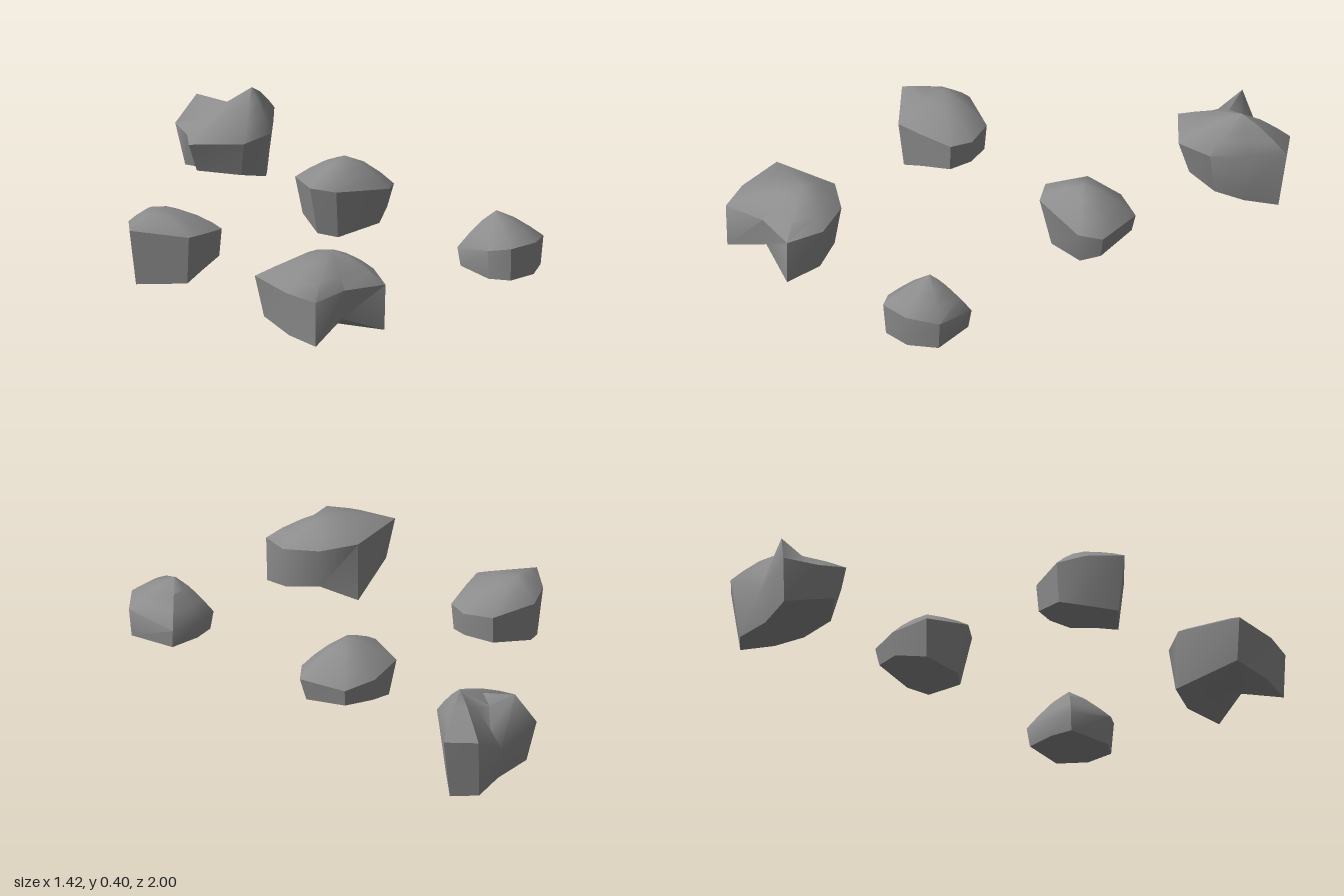
import * as THREE from 'three';
import { toCreasedNormals } from 'three/addons/utils/BufferGeometryUtils.js';

// A rock is an outline (x, z pairs from +x round through +z) set on a tilted belt,
// rising to a rounded apex and narrowing to a foot that waves between low and high.
// The belt drops at the spoke 'notch'; a second peak stands on the spoke 'spike'.
function rockGeometry({
  outline, apex, belt, tiltX = 0, tiltZ = 0, bulge = 1.6, spike = -1, notch = -1,
  low, high = low, lowScale, highScale = lowScale, legs = 1, phase = 0,
}) {
  const n = outline.length / 2;
  const spokes = Array.from({ length: n }, (_, i) => [outline[2 * i], outline[2 * i + 1]]);
  const cx = spokes.reduce((sum, p) => sum + p[0], 0) / n;
  const cz = spokes.reduce((sum, p) => sum + p[1], 0) / n;

  const foot = spokes.map(([x, z], i) => {
    const wave = 0.5 - 0.5 * Math.cos(legs * (i - phase) * 2 * Math.PI / n);
    const scale = THREE.MathUtils.lerp(lowScale, highScale, wave);
    return [cx + (x - cx) * scale, THREE.MathUtils.lerp(low, high, wave), cz + (z - cz) * scale];
  });
  const shoulder = (t, lift) => spokes.map(([x, z], i) => {
    const y = belt + tiltX * (x - cx) + tiltZ * (z - cz) - (i === notch ? 0.08 : 0);
    return [
      x + (apex[0] - x) * t,
      y + (apex[1] - y) * (1 - (1 - t) ** bulge) + (i === spike ? lift : 0),
      z + (apex[2] - z) * t,
    ];
  });
  const rings = [
    spokes.map(() => [cx, (low + high) / 2, cz]),
    foot,
    shoulder(0, 0),
    shoulder(0.28, 0.07),
    shoulder(0.62, -0.03),
    spokes.map(() => apex),
  ];

  // Join neighbouring rings; the first and last close to a point
  const index = [];
  for (let r = 0; r < rings.length - 1; r++) {
    for (let i = 0; i < n; i++) {
      const a = r * n + i, b = r * n + (i + 1) % n;
      const c = a + n, d = b + n;
      if (r > 0) index.push(a, c, b);
      if (r < rings.length - 2) index.push(b, c, d);
    }
  }
  const geometry = new THREE.BufferGeometry();
  geometry.setAttribute('position', new THREE.Float32BufferAttribute(rings.flat(2), 3));
  geometry.setIndex(index);
  return toCreasedNormals(geometry, 0.8);
}

export function createModel() {
  const group = new THREE.Group();
  group.name = 'rocks';
  const stone = new THREE.MeshStandardMaterial({ color: 0x8c8c8c });
  const addRock = (name, shape) => {
    const mesh = new THREE.Mesh(rockGeometry(shape), stone);
    mesh.name = name;
    group.add(mesh);
  };

  // Small rock with an even foot
  addRock('smallFrontRock', {
    outline: [0.57, 0.92, 0.46, 1, 0.33, 1, 0.275, 0.92, 0.3, 0.71, 0.4, 0.695, 0.54, 0.715],
    apex: [0.41, 0.325, 0.82], belt: 0.195, tiltZ: 0.2, bulge: 1.3, low: 0.09, lowScale: 0.93,
  });

  // Block standing on three corners
  addRock('blockyFrontRock', {
    outline: [-0.22, 0.8, -0.28, 0.94, -0.46, 0.9, -0.64, 0.93, -0.68, 0.8, -0.68, 0.61,
      -0.4, 0.56, -0.27, 0.65],
    apex: [-0.4, 0.32, 0.74], belt: 0.22, tiltZ: -0.13,
    low: 0, high: 0.08, lowScale: 1, highScale: 0.85, legs: 3, phase: 0.7,
  });

  // Round rock, lowest at the front left
  addRock('middleRightRock', {
    outline: [0.57, 0.02, 0.49, 0.08, 0.24, 0.05, 0.18, -0.04, 0.25, -0.21, 0.41, -0.235, 0.54, -0.19],
    apex: [0.38, 0.335, -0.06], belt: 0.22, tiltX: -0.13, bulge: 1.5,
    low: 0.035, high: 0.13, lowScale: 0.75, highScale: 0.92, phase: 2.2,
  });

  // Wedge resting on its outer end
  addRock('middleLeftRock', {
    outline: [-0.29, -0.09, -0.32, 0, -0.45, 0.04, -0.55, 0.065, -0.71, -0.11, -0.61, -0.23,
      -0.5, -0.28, -0.33, -0.21],
    apex: [-0.53, 0.3, -0.16], belt: 0.22, tiltX: -0.13,
    low: 0.02, high: 0.1, lowScale: 0.86, highScale: 0.96, phase: 4,
  });

  // Tall rock with a second, smaller peak at the back beside a notch
  addRock('peakedBackRock', {
    outline: [0.71, -0.86, 0.6, -0.74, 0.5, -0.64, 0.34, -0.62, 0.18, -0.77, 0.25, -0.86,
      0.31, -1, 0.47, -0.955, 0.62, -0.965],
    apex: [0.53, 0.4, -0.79], belt: 0.25, tiltX: 0.03, bulge: 1.3, spike: 6, notch: 7,
    low: 0, high: 0.12, lowScale: 0.84, highScale: 0.8, phase: -0.4,
  });
  return group;
}
